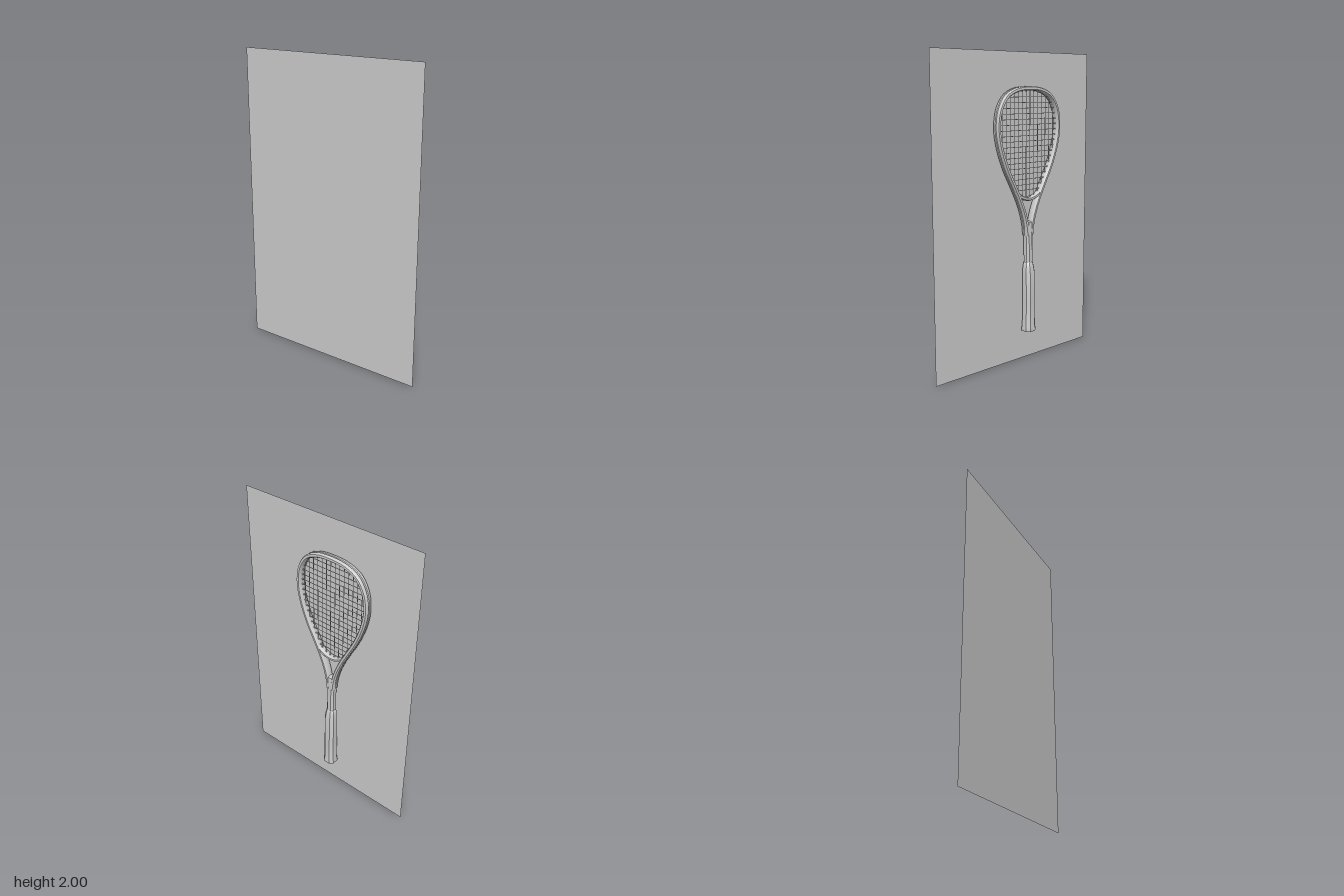
import * as THREE from 'three';
import { toCreasedNormals } from 'three/addons/utils/BufferGeometryUtils.js';

const material = new THREE.MeshStandardMaterial({ color: 0xcccccc });
const AXIS_X = -0.07; // long axis of the racket
const FRAME_Z = 0.008; // mid-plane of frame and strings

function addMesh(parent, name, geometry, mat = material) {
  const mesh = new THREE.Mesh(geometry, mat);
  mesh.name = name;
  parent.add(mesh);
  return mesh;
}

// Sweeps a closed section (across, z) along a planar path in x, y.
// sectionAt(i) gives the section for path point i, counter-clockwise.
function sweep(path, sectionAt) {
  const positions = [], index = [];
  const n = sectionAt(0).length;
  path.forEach((p, i) => {
    const a = path[Math.max(i - 1, 0)], b = path[Math.min(i + 1, path.length - 1)];
    const t = new THREE.Vector2(b.x - a.x, b.y - a.y).normalize();
    for (const [u, z] of sectionAt(i)) positions.push(p.x - t.y * u, p.y + t.x * u, z);
    if (i === path.length - 1) return;
    for (let j = 0; j < n; j++) {
      const p0 = i * n + j, p1 = i * n + (j + 1) % n;
      index.push(p0, p1, p0 + n, p1, p1 + n, p0 + n);
    }
  });
  const geometry = new THREE.BufferGeometry();
  geometry.setAttribute('position', new THREE.Float32BufferAttribute(positions, 3));
  geometry.setIndex(index);
  return toCreasedNormals(geometry, 0.7);
}

const spline = (pts, count) =>
  new THREE.CatmullRomCurve3(pts.map(([x, y]) => new THREE.Vector3(x, y, 0)), false, 'centripetal').getSpacedPoints(count);

// Hollow-looking frame section: rounded inside, string groove outside
const frameSection = [
  [0.005, 0], [0.013, 0.005], [0.013, 0.019], [0.008, 0.026], [-0.006, 0.027], [-0.012, 0.02],
  [-0.013, 0], [-0.012, -0.02], [-0.006, -0.027], [0.008, -0.026], [0.013, -0.019], [0.013, -0.005],
];
const bridgeSection = [
  [0.012, 0.012], [0.006, 0.022], [-0.006, 0.022], [-0.012, 0.012],
  [-0.012, -0.012], [-0.006, -0.022], [0.006, -0.022], [0.012, -0.012],
];

// Half of the frame centre line, from the shaft up to the tip
const halfOutline = [
  [0.015, 0.84], [0.022, 0.9], [0.042, 0.98], [0.078, 1.07], [0.124, 1.16], [0.19, 1.285],
  [0.238, 1.415], [0.257, 1.53], [0.24, 1.645], [0.185, 1.727], [0.1, 1.765],
];
const outline = [
  ...halfOutline.map(([x, y]) => [-x, y]), [0, 1.774], ...halfOutline.slice().reverse(),
];
const bridgeLine = [[-0.118, 1.14], [-0.075, 1.098], [0, 1.076], [0.075, 1.098], [0.118, 1.14]];

// Eight-sided, softened section used by handle and shaft
function octagon(hx, hz, cz) {
  const cut = 0.5;
  return [[1, -cut], [1, cut], [cut, 1], [-cut, 1], [-1, cut], [-1, -cut], [-cut, -1], [cut, -1]]
    .map(([x, z]) => [x * hx, cz + z * hz]);
}

function loft(rows) {
  return sweep(rows.map(([y]) => new THREE.Vector3(0, y, 0)), (i) => octagon(rows[i][1], rows[i][2], rows[i][3]));
}

function createStrings(loop) {
  const strings = new THREE.Group();
  strings.name = 'strings';
  // Range of the loop along one axis where the other axis equals c
  const span = (axis, c) => {
    const other = axis === 'x' ? 'y' : 'x', hits = [];
    loop.forEach((a, i) => {
      const b = loop[(i + 1) % loop.length];
      if ((a[axis] - c) * (b[axis] - c) <= 0 && a[axis] !== b[axis]) {
        hits.push(a[other] + (b[other] - a[other]) * (c - a[axis]) / (b[axis] - a[axis]));
      }
    });
    return [Math.min(...hits), Math.max(...hits)];
  };
  const addString = (name, axis, c) => {
    const [lo, hi] = span(axis, c);
    const place = (mesh, s) => {
      if (axis === 'x') mesh.position.set(c, s, FRAME_Z);
      else {
        mesh.position.set(s, c, FRAME_Z);
        mesh.rotation.z = Math.PI / 2;
      }
    };
    place(addMesh(strings, name, new THREE.CylinderGeometry(0.002, 0.002, hi - lo, 6)), (lo + hi) / 2);
    // Grommets where the string enters the frame
    for (const s of [lo + 0.012, hi - 0.012]) {
      place(addMesh(strings, 'grommet', new THREE.CylinderGeometry(0.0045, 0.0045, 0.018, 6)), s);
    }
  };
  for (let i = 0; i < 14; i++) addString('mainString', 'x', (i - 6.5) * 0.0335);
  for (let i = 0; i < 18; i++) addString('crossString', 'y', 1.135 + i * 0.0345);
  return strings;
}

export function createModel() {
  const model = new THREE.Group();
  model.name = 'racketWithBackdrop';

  // Flat backdrop sheet in front of the racket
  const sheetMaterial = new THREE.MeshStandardMaterial({ color: 0xcccccc, side: THREE.DoubleSide });
  const sheet = addMesh(model, 'backdropSheet', new THREE.PlaneGeometry(1.31, 2), sheetMaterial);
  sheet.position.set(0, 1, 0.045);

  const racket = new THREE.Group();
  racket.name = 'racket';
  racket.position.x = AXIS_X;
  model.add(racket);

  // Head frame with both throat arms
  const framePath = spline(outline, 120);
  const shift = (section) => section.map(([u, z]) => [u, z + FRAME_Z]);
  addMesh(racket, 'headFrame', sweep(framePath, () => shift(frameSection)));

  // Curved throat bridge closing the string bed
  const bridgePath = spline(bridgeLine, 24);
  addMesh(racket, 'throatBridge', sweep(bridgePath, () => shift(bridgeSection)));

  // String bed bounded by the head and the bridge
  const head = framePath.filter((p) => p.y > 1.14);
  racket.add(createStrings([...head, ...bridgePath.slice().reverse()]));

  // Shaft: y, half width, half depth, centre z
  addMesh(racket, 'shaft', loft([
    [0.62, 0.027, 0.026, 0.004], [0.75, 0.026, 0.026, 0.006], [0.86, 0.027, 0.026, 0.008],
    [0.9, 0.03, 0.025, 0.008], [0.925, 0.025, 0.022, 0.008], [0.935, 0, 0, 0.008],
  ]));

  // Grip with tapered collar and flared butt
  addMesh(racket, 'grip', loft([
    [0.2, 0, 0, 0], [0.2, 0.042, 0.041, 0], [0.212, 0.044, 0.043, 0], [0.24, 0.039, 0.038, 0],
    [0.4, 0.038, 0.038, 0], [0.59, 0.038, 0.037, 0.001], [0.625, 0.034, 0.033, 0.003],
    [0.66, 0.028, 0.028, 0.005], [0.665, 0.024, 0.024, 0.005],
  ]));

  return model;
}
